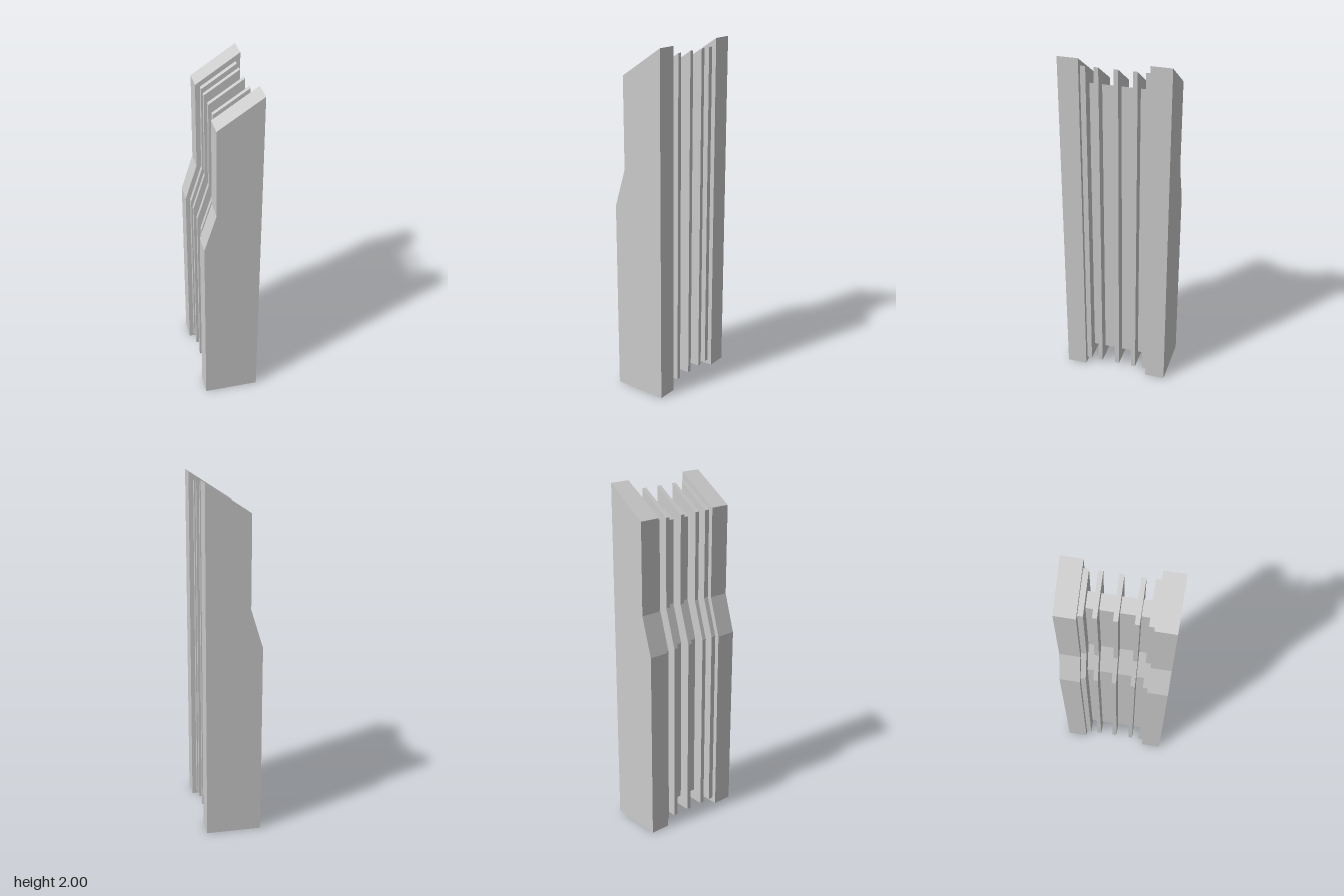
import * as THREE from 'three';

const material = new THREE.MeshStandardMaterial({ color: 0xcccccc, flatShading: true });

// Side outline shrunk evenly by a distance d
function outline(d) {
  const left = -0.158 + d, step = -0.09 + d, right = 0.157 - d;
  const slope = 0.162 / 0.247;
  const topAt = (x) => 2 + (x - 0.157) * slope - d * Math.hypot(1, slope);
  const kink = d * 0.151;
  return new THREE.Shape([
    [left, d * 1.08], [right, d * 1.08], [right, topAt(right)],
    [step, topAt(step)], [step, 1.325 - kink], [left, 1.105 - kink],
  ].map(([x, y]) => new THREE.Vector2(x, y)));
}

// Plate with the outline, spanning z0 to z1
function plate(name, inset, z0, z1) {
  const geometry = new THREE.ExtrudeGeometry(outline(inset), { depth: z1 - z0, bevelEnabled: false });
  geometry.translate(0, 0, z0);
  const mesh = new THREE.Mesh(geometry, material);
  mesh.name = name;
  return mesh;
}

export function createModel() {
  const model = new THREE.Group();
  model.name = 'finnedPillar';

  // Thick end slabs
  model.add(plate('frontSlab', 0, 0.191, 0.3065));
  model.add(plate('backSlab', 0, -0.3065, -0.191));

  // Recessed core joining the slabs
  model.add(plate('core', 0.088, -0.191, 0.191));

  // Thin fins around the core, and collars against the slabs
  for (const z of [-0.1055, -0.002, 0.1045]) model.add(plate('fin', 0.026, z - 0.0125, z + 0.0125));
  model.add(plate('frontCollar', 0.026, 0.162, 0.191));
  model.add(plate('backCollar', 0.026, -0.191, -0.162));

  return model;
}
